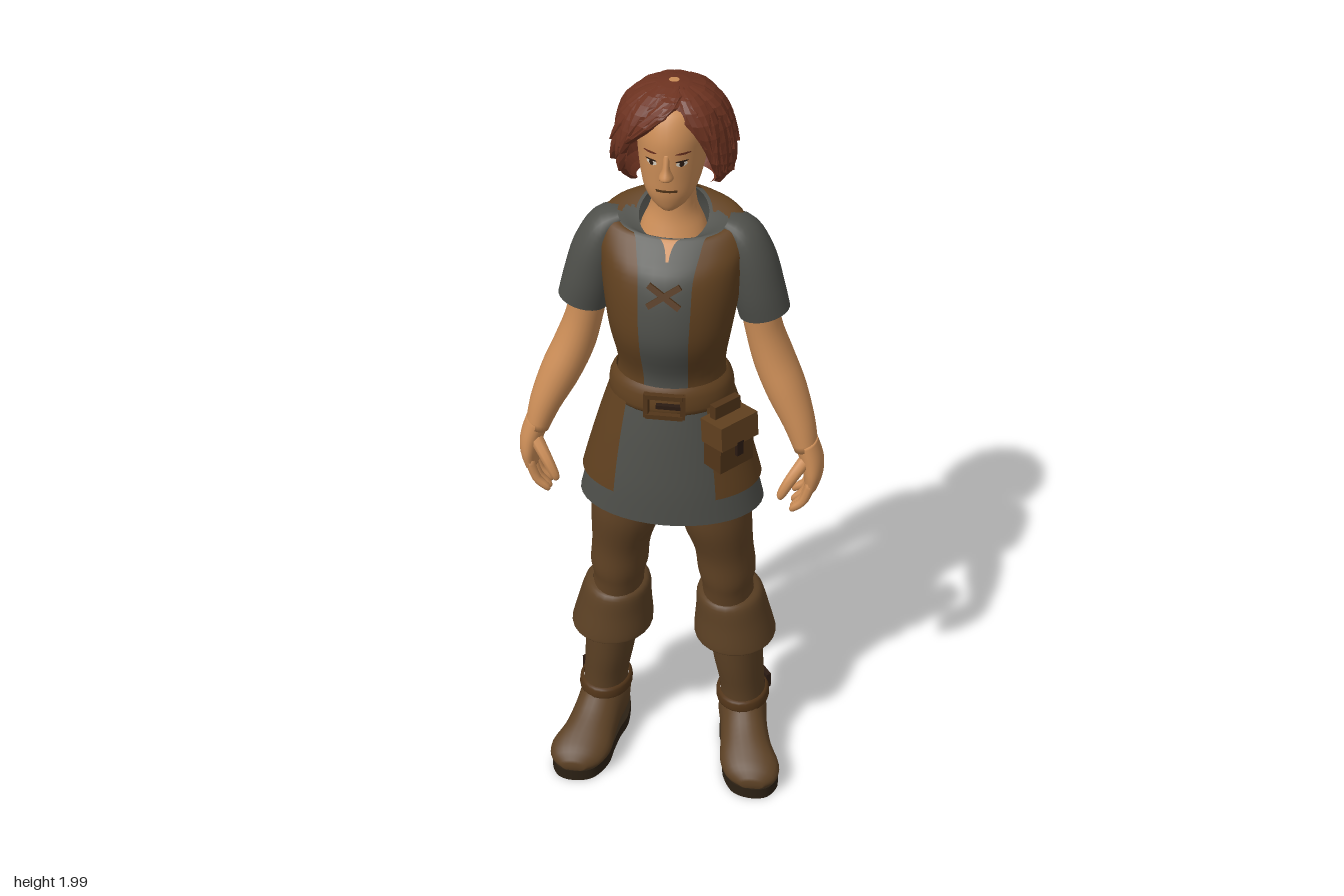
import * as THREE from 'three';

const mat = (name, color, side = THREE.DoubleSide) => {
  const m = new THREE.MeshStandardMaterial({ color, side });
  m.name = name;
  return m;
};
const Y = new THREE.Vector3(0, 1, 0), Z = new THREE.Vector3(0, 0, 1), TAU = Math.PI * 2;

// smooth interpolation through a short list of numbers, t from 0 to 1
function lut(arr, t) {
  const n = arr.length - 1, f = Math.min(Math.max(t, 0), 1) * n, i = Math.min(Math.floor(f), n - 1), u = f - i;
  const g = k => arr[Math.min(Math.max(k, 0), n)];
  const [p, q, r, s] = [g(i - 1), g(i), g(i + 1), g(i + 2)];
  return q + 0.5 * u * (r - p + u * (2 * p - 5 * q + 4 * r - s + u * (3 * (q - r) + s - p)));
}
const comp = (S, k, v) => lut(S.map(s => s[k] || 0), v);
const centre = (S, v) => new THREE.Vector3(comp(S, 0, v), comp(S, 1, v), comp(S, 2, v));

// Surface through sections [x, y, z, halfWidth, halfDepth, tilt]; angle 0 is the front.
// Without a0 it is a closed, capped body; with a0 and a1 it is a sheet lying on that body.
function skin(S, { v0 = 0, v1 = 1, a0, a1, off = 0, rows = 16, cols = 24, dir = Y, cap = true, flat = false } = {}) {
  const val = (f, ...p) => (typeof f === 'function' ? f(...p) : f);
  const closed = a0 === undefined, w = closed ? cols : cols + 1, pos = [], idx = [];
  for (let i = 0; i <= rows; i++) {
    const t = i / rows, v = v0 + (v1 - v0) * t, c = centre(S, v);
    const d = dir || centre(S, v + 0.02).sub(centre(S, v - 0.02)).normalize();
    const U = new THREE.Vector3().crossVectors(d, Math.abs(d.z) > 0.8 ? Y : Z).normalize();
    const W = new THREE.Vector3().crossVectors(U, d);
    const rx = Math.max(comp(S, 3, v), 0), rz = Math.max(comp(S, 4, v), 0), tilt = comp(S, 5, v);
    for (let j = 0; j < w; j++) {
      const s = j / cols, A = closed ? 0 : val(a0, t), B = closed ? TAU : val(a1, t);
      const a = A + (B - A) * s, o = val(off, t, s), k = (rz + o) * Math.cos(a);
      const p = c.clone().addScaledVector(U, (rx + o) * Math.sin(a)).addScaledVector(W, k);
      pos.push(p.x, p.y + tilt * k, p.z);
    }
  }
  for (let i = 0; i < rows; i++) for (let j = 0; j < cols; j++) {
    const k = (j + 1) % w, a = i * w + j, b = i * w + k, c = a + w, d = b + w;
    idx.push(a, b, d, a, d, c);
  }
  if (closed && cap) for (const end of [0, 1]) {
    const c = centre(S, end ? v1 : v0), n = pos.length / 3, r = end * rows * w;
    pos.push(c.x, c.y, c.z);
    for (let j = 0; j < cols; j++) {
      const k = (j + 1) % cols;
      idx.push(n, r + (end ? j : k), r + (end ? k : j));
    }
  }
  let g = new THREE.BufferGeometry();
  g.setAttribute('position', new THREE.Float32BufferAttribute(pos, 3));
  g.setIndex(idx);
  if (flat) g = g.toNonIndexed();
  g.computeVertexNormals();
  return g;
}

const TORSO = [[0, 1.19, -.012, .135, .106], [0, 1.27, -.018, .122, .104], [0, 1.38, .004, .138, .122], [0, 1.47, -.01, .153, .134],
  [0, 1.55, -.028, .163, .127], [0, 1.61, -.046, .17, .104, -.15], [0, 1.65, -.055, .15, .08, -.3], [0, 1.65, -.05, .082, .078, -.5]];
const SKIRT = [[0, .87, -.018, .232, .152], [0, .97, -.015, .208, .145], [0, 1.1, -.015, .172, .13], [0, 1.21, -.012, .138, .108]];
const HEAD = [[0, 1.715, .032, .018, .022], [0, 1.73, .02, .04, .042], [0, 1.76, .005, .06, .066], [0, 1.80, -.02, .073, .095],
  [0, 1.85, -.04, .081, .118], [0, 1.90, -.045, .084, .12], [0, 1.95, -.05, .075, .102], [0, 1.975, -.05, .04, .06]];
const HAIR = [[0, 1.74, -.07, .09, .065], [0, 1.77, -.062, .118, .096], [0, 1.81, -.055, .128, .112], [0, 1.86, -.052, .127, .117],
  [0, 1.91, -.052, .117, .115], [0, 1.95, -.052, .096, .1], [0, 1.978, -.052, .06, .065], [0, 1.99, -.052, .012, .012]];

export function createModel() {
  const root = new THREE.Group();
  root.name = 'villager';
  const M = {
    skin: mat('skin', 0xcb8d57), hair: mat('auburn hair', 0x6c3220), vest: mat('vest leather', 0x60401f),
    shirt: mat('grey cloth', 0x4e4f4a), trousers: mat('trousers brown', 0x604224), boot: mat('boot leather', 0x5b4024),
    sole: mat('dark sole', 0x2c2114, THREE.FrontSide), strap: mat('strap leather', 0x523519),
    white: mat('eye white', 0xd8cfc0), dark: mat('dark brown', 0x2a1a12)
  };
  const add = (parent, name, geo, m) => {
    const mesh = new THREE.Mesh(geo, m);
    mesh.name = name;
    parent.add(mesh);
    return mesh;
  };
  const box = (parent, name, m, size, p, ry = 0, rx = 0, rz = 0) => {
    const b = add(parent, name, new THREE.BoxGeometry(...size), m);
    b.position.set(...p);
    b.rotation.set(rx, ry, rz, 'YXZ');
    return b;
  };

  // torso and clothes
  add(root, 'shirt', skin(TORSO, { rows: 28, cols: 36, cap: false }), M.shirt);
  const open = [.4, .42, .4, .39, .38, .42, .55, .95];
  add(root, 'vest', skin(TORSO, { v0: .02, rows: 28, cols: 36, off: .008, a0: t => lut(open, t), a1: t => TAU - lut(open, t) }), M.vest);
  add(root, 'neckNotch', skin(TORSO, { v0: .69, rows: 8, cols: 6, off: .004, a0: t => -.02 - .4 * t * t, a1: t => .02 + .4 * t * t }), M.skin);
  for (const s of [-1, 1]) box(root, 'lace', M.strap, [.09, .014, .01], [0, 1.525, .119], 0, -.35, s * .6);
  add(root, 'skirt', skin(SKIRT, { cols: 40, cap: false }), M.shirt);
  for (const s of [0, 1]) {
    const front = t => .6 + .1 * t, back = t => Math.PI - .34 + .16 * t;
    add(root, 'sidePanel', skin(SKIRT, { v0: .27, off: .011, a0: t => s ? TAU - back(t) : front(t), a1: t => s ? TAU - front(t) : back(t) }), M.vest);
  }

  // belt, buckle and pouch
  const belt = [[0, 1.18, -.012, .143, .113], [0, 1.195, -.012, .153, .122], [0, 1.235, -.014, .149, .12], [0, 1.255, -.016, .135, .112]];
  add(root, 'belt', skin(belt, { rows: 8, cols: 36, cap: false }), M.vest);
  for (const s of [-1, 1]) {
    box(root, 'buckleSide', M.strap, [.012, .066, .014], [s * .044, 1.215, .112], s * .15);
    box(root, 'buckleBar', M.strap, [.09, .012, .014], [0, 1.215 + s * .028, .115]);
  }
  box(root, 'bucklePin', M.dark, [.06, .01, .012], [.01, 1.215, .114]);
  const pouch = new THREE.Group();
  pouch.name = 'pouch';
  pouch.position.set(.155, 1.13, .105);
  pouch.rotation.y = .85;
  root.add(pouch);
  box(pouch, 'pouchBody', M.strap, [.105, .12, .06], [0, -.005, 0]);
  box(pouch, 'pouchFlap', M.vest, [.116, .065, .074], [0, .038, .002], 0, -.08);
  box(pouch, 'pouchTab', M.dark, [.02, .04, .008], [0, -.005, .038]);
  box(pouch, 'pouchLoop', M.strap, [.08, .05, .02], [0, .08, -.015]);

  // neck, head and face
  add(root, 'neck', skin([[0, 1.57, -.025, .09, .07], [0, 1.63, -.048, .076, .068], [0, 1.69, -.05, .053, .056], [0, 1.79, -.045, .05, .055]]), M.skin);
  add(root, 'head', skin(HEAD, { rows: 28, cols: 32 }), M.skin);
  add(root, 'nose', skin([[0, 1.803, .07, .01, .008], [0, 1.812, .075, .017, .024], [0, 1.835, .074, .009, .016], [0, 1.868, .071, .008, .007]], { cols: 12 }), M.skin);
  add(root, 'upperLip', skin(HEAD, { v0: .335, v1: .358, off: .003, rows: 3, cols: 8, a0: -.36, a1: .36 }), M.strap);
  for (const s of [-1, 1]) {
    const patch = (name, m, v0, v1, c, h, off) => add(root, name, skin(HEAD, { v0, v1, off, rows: 4, cols: 6,
      a0: t => s * c - h * (.4 + .6 * Math.sin(t * Math.PI)), a1: t => s * c + h * (.4 + .6 * Math.sin(t * Math.PI)) }), m);
    patch('eye', M.white, .54, .577, .43, .17, .002);
    patch('iris', M.dark, .542, .577, .42, .07, .004);
    patch('eyelashes', M.dark, .573, .585, .43, .19, .004);
    patch('eyebrow', M.hair, .625, .64, .45, .22, .004);
  }

  // hair: a cap with the face left open, covered with chunky pointed locks
  const left = [1.15, 1.05, .85, .7, .5, .22, 0, 0], right = [1.15, 1.05, .9, .8, .7, .4, 0, 0];
  add(root, 'hairCap', skin(HAIR, { rows: 14, cols: 28, flat: true, a0: t => lut(left, t), a1: t => TAU - lut(right, t) }), M.hair);
  let seed = 7;
  const rnd = () => (seed = (seed * 16807) % 2147483647) / 2147483647;
  const lock = (v0, v1, aTip, aRoot, half, lift) => {
    const mid = t => aTip + (aRoot - aTip) * t, wide = t => half * Math.min(1, .12 + 1.7 * t);
    add(root, 'hairLock', skin(HAIR, { v0, v1, rows: 5, cols: 4, flat: true, a0: t => mid(t) - wide(t), a1: t => mid(t) + wide(t),
      off: (t, s) => (.002 + lift * (1 - .6 * t)) * (1 - .9 * (2 * s - 1) ** 2) }), M.hair);
  };
  // rows of [tip, root, number, half width, lift, face gap]
  for (const [v0, v1, n, half, lift, gap] of [[0, .5, 13, .24, .013, 1.2], [.16, .62, 13, .25, .015, 1.05],
    [.34, .78, 12, .27, .014, .9], [.52, .92, 10, .36, .012, .75]])
    for (let k = 0; k < n; k++) {
      const a = gap + (TAU - 2 * gap) * k / (n - 1) + (rnd() - .5) * .12;
      lock(v0 + rnd() * .08, v1, a, a + (rnd() - .3) * .4, half, lift + rnd() * .006);
    }
  // fringe swept from a side parting
  lock(.4, .93, -.95, .25, .3, .014);
  lock(.52, .95, -.6, .4, .26, .012);
  lock(.3, .88, -1.05, -.5, .26, .016);
  lock(.42, .93, .78, .55, .24, .013);
  lock(.22, .8, .95, .75, .22, .014);

  // limbs are built for the left side and mirrored
  for (const side of [1, -1]) {
    const limb = new THREE.Group();
    limb.name = side > 0 ? 'leftLimbs' : 'rightLimbs';
    limb.scale.x = side;
    root.add(limb);

    // arm and sleeve
    add(limb, 'arm', skin([[.335, 1.05, .002, .03, .04], [.313, 1.12, -.01, .04, .046], [.277, 1.2, -.032, .05, .058], [.242, 1.28, -.048, .05, .06],
      [.215, 1.37, -.048, .045, .052], [.198, 1.47, -.046, .048, .054]], { dir: null }), M.skin);
    add(limb, 'sleeve', skin([[.218, 1.408, -.045, .062, .06], [.203, 1.47, -.045, .062, .066], [.183, 1.55, -.05, .058, .068],
      [.158, 1.61, -.055, .045, .06], [.12, 1.64, -.055, .02, .04]], { dir: null, cap: false }), M.shirt);

    // hand
    add(limb, 'palm', skin([[.352, .94, 0, .017, .044], [.355, .98, 0, .025, .05], [.35, 1.02, 0, .029, .047], [.333, 1.07, 0, .03, .04]], { dir: null }), M.skin);
    for (let f = 0; f < 4; f++) {
      const z = .034 - f * .024, d = [.008, 0, .004, .018][f];
      add(limb, 'finger', skin([[.306, .866 + d, z, .005, .005], [.313, .876 + d, z, .01, .01], [.337, .905 + d * .6, z, .012, .012],
        [.354, .965, z, .013, .013]], { dir: null, rows: 9, cols: 8 }), M.skin);
    }
    add(limb, 'thumb', skin([[.28, .93, .063, .006, .006], [.284, .945, .062, .012, .012], [.305, .985, .052, .015, .015], [.34, 1.03, .02, .018, .018]],
      { dir: null, rows: 9, cols: 8 }), M.skin);

    // leg
    add(limb, 'trouserLeg', skin([[.148, .5, -.05, .068, .08], [.143, .57, -.043, .066, .085], [.141, .62, -.042, .075, .094], [.133, .7, -.03, .076, .088],
      [.116, .8, -.012, .09, .094], [.107, .88, -.01, .095, .097], [.095, 1.02, -.01, .088, .1]], { rows: 24 }), M.trousers);

    // boot
    add(limb, 'bootShaft', skin([[.192, .09, -.066, .064, .08], [.187, .2, -.065, .06, .079], [.175, .3, -.06, .066, .086], [.165, .4, -.058, .07, .09],
      [.155, .5, -.052, .07, .085]]), M.boot);
    add(limb, 'bootCuff', skin([[.166, .42, -.053, .08, .09], [.166, .397, -.053, .105, .114], [.163, .41, -.053, .107, .117], [.157, .47, -.053, .097, .108],
      [.149, .53, -.053, .086, .1], [.147, .545, -.05, .066, .08]], { rows: 24, cap: false }), M.boot);
    add(limb, 'bootFoot', skin([[.185, .085, -.155, .025, .04], [.187, .095, -.135, .052, .066], [.19, .108, -.06, .066, .09], [.2, .1, 0, .064, .078],
      [.213, .08, .06, .069, .06], [.23, .064, .115, .08, .046], [.238, .052, .155, .066, .034], [.242, .045, .179, .03, .015]],
      { dir: Z, rows: 24 }), M.boot);
    const outline = new THREE.Shape();
    outline.moveTo(.185, -.16);
    outline.splineThru([[.235, -.14], [.252, -.06], [.262, 0], [.296, .08], [.308, .125], [.285, .17], [.24, .182], [.19, .165], [.158, .11],
      [.15, .05], [.142, 0], [.128, -.06], [.138, -.14], [.185, -.16]].map(p => new THREE.Vector2(...p)));
    const sole = new THREE.ExtrudeGeometry(outline, { depth: .034, bevelEnabled: false, curveSegments: 36 });
    sole.rotateX(Math.PI / 2).translate(0, .034, 0);
    add(limb, 'bootSole', sole, M.sole);
    add(limb, 'ankleStrap', skin([[.19, .152, -.064, .068, .088, .1], [.189, .157, -.064, .072, .092, .1], [.188, .18, -.064, .07, .09, .1],
      [.188, .186, -.064, .062, .082, .1]], { rows: 8, cap: false }), M.strap);
    box(limb, 'ankleBuckle', M.dark, [.045, .045, .014], [.243, .17, -.12], 2.2);
  }
  return root;
}
